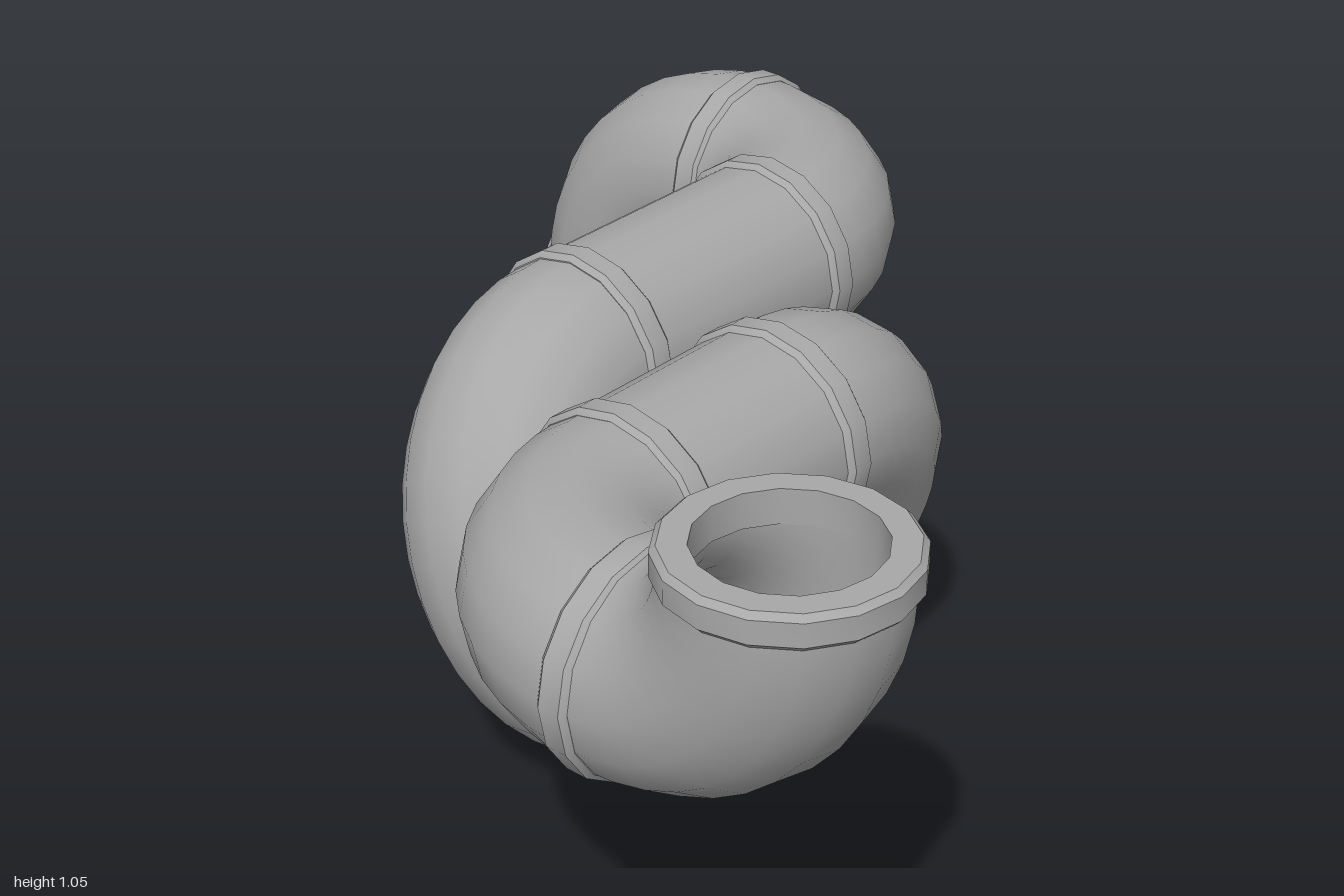
import * as THREE from 'three';
import { toCreasedNormals } from 'three/addons/utils/BufferGeometryUtils.js';

const R = 0.29;        // bend radius of the centre line
const PIPE = 0.19, BORE = 0.145, RIM = 0.2;
const SIDES = 16;
const V = (x, y, z) => new THREE.Vector3(x, y, z);

// Circular arc: centre + u cos(t) + v sin(t)
class Arc extends THREE.Curve {
  constructor(centre, u, v, angle) {
    super();
    Object.assign(this, { centre, u, v, angle });
  }
  getPoint(t, target = V(0, 0, 0)) {
    const a = t * this.angle;
    return target.copy(this.centre).addScaledVector(this.u, Math.cos(a)).addScaledVector(this.v, Math.sin(a));
  }
  getTangent(t, target = V(0, 0, 0)) {
    const a = t * this.angle;
    return target.set(0, 0, 0).addScaledVector(this.u, -Math.sin(a)).addScaledVector(this.v, Math.cos(a)).normalize();
  }
}

// Quarter or half bend from start about centre, first heading along dir
function bend(start, centre, dir, angle) {
  const u = start.clone().sub(centre);
  return new Arc(centre, u, dir.clone().setLength(u.length()), angle);
}

export function createModel() {
  const model = new THREE.Group();
  model.name = 'pipeRun';
  const metal = new THREE.MeshStandardMaterial({ color: 0xa8a8a8, side: THREE.DoubleSide });
  metal.name = 'grey metal';

  // A hollow length of pipe: outer wall and bore
  function pipe(name, curve, steps) {
    const group = new THREE.Group();
    group.name = name;
    for (const [part, radius] of [['outerWall', PIPE], ['bore', BORE]]) {
      const mesh = new THREE.Mesh(new THREE.TubeGeometry(curve, steps, radius, SIDES), metal);
      mesh.name = part;
      group.add(mesh);
    }
    model.add(group);
  }

  // Bevelled collar ring
  const h = 0.03, b = 0.01;
  const profile = [
    [BORE, -h], [RIM - b, -h], [RIM, -h + b], [RIM, h - b], [RIM - b, h], [BORE, h], [BORE, -h],
  ].map(([x, y]) => new THREE.Vector2(x, y));
  const collarGeometry = toCreasedNormals(new THREE.LatheGeometry(profile, SIDES), 0.6);
  function collar(name, position, axis) {
    const mesh = new THREE.Mesh(collarGeometry, metal);
    mesh.name = name;
    mesh.position.copy(position);
    if (axis === 'x') mesh.rotation.z = Math.PI / 2;
    if (axis === 'z') mesh.rotation.x = Math.PI / 2;
    model.add(mesh);
  }

  const Y = 0.725, Z = 0.22, X = 0.445, LX = -0.065;
  const drop = Math.sqrt(4 * R * R - Z * Z);   // height of the tilted loop
  const bottom = V(LX, Y - drop, 0);

  // s = 1: front run, rising at its end; s = -1: back run, dropping at its end
  for (const [side, s] of [['front', 1], ['back', -1]]) {
    const inner = V(-s * X, Y, s * Z);
    const corner = V(-s * (X + R), Y, s * (Z + R));
    const mouth = V(corner.x, Y + s * R, s * (Z + 2 * R));
    const loopTop = V(LX, Y, s * Z);

    pipe(side + 'Straight', new THREE.LineCurve3(loopTop, inner), 1);
    pipe(side + 'SideElbow', bend(inner, V(inner.x, Y, corner.z), V(-s, 0, 0), Math.PI / 2), 10);
    pipe(side + 'EndElbow', bend(corner, V(corner.x, mouth.y, corner.z), V(0, 0, s), Math.PI / 2), 10);

    // Half of the loop, leaning from the run down to the shared low point
    const centre = loopTop.clone().add(bottom).multiplyScalar(0.5);
    pipe(side + 'HalfLoop', bend(loopTop, centre, V(s, 0, 0), Math.PI), 20);

    collar(side + 'LoopCollar', loopTop, 'x');
    collar(side + 'SideCollar', inner, 'x');
    collar(side + 'CornerCollar', corner, 'z');
    collar(side + 'MouthCollar', mouth, 'y');
  }
  return model;
}
